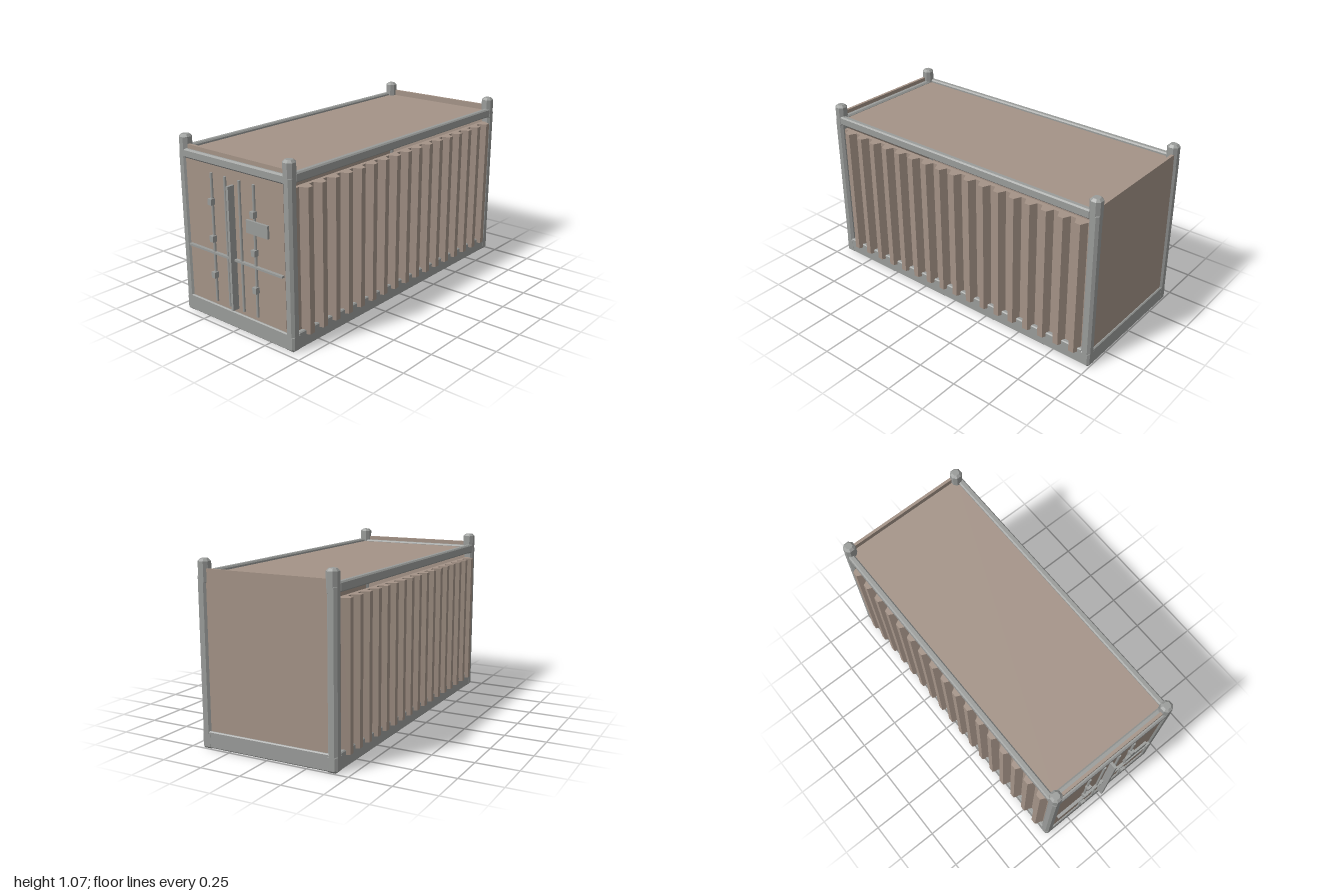
import * as THREE from 'three';

const mat = (name, color) => {
  const m = new THREE.MeshStandardMaterial({ color });
  m.name = name;
  return m;
};

// Rectangle outline with cut corners
function cutRect(w, h, c) {
  const a = w / 2, b = h / 2;
  return new THREE.Shape([
    [a - c, -b], [a, -b + c], [a, b - c], [a - c, b],
    [-a + c, b], [-a, b - c], [-a, -b + c], [-a + c, -b],
  ].map(([x, y]) => new THREE.Vector2(x, y)));
}

// Box with chamfered edges; cut trims the four edges along z further
function chamferBox(w, h, d, c, cut = c) {
  const g = new THREE.ExtrudeGeometry(cutRect(w - 2 * c, h - 2 * c, cut * 0.4), {
    depth: d - 2 * c, bevelEnabled: true, bevelThickness: c, bevelSize: c, bevelSegments: 1,
  });
  return g.translate(0, 0, -d / 2 + c);
}

export function createModel() {
  const root = new THREE.Group();
  root.name = 'cargoContainer';
  const steel = mat('frameGrey', 0x9a9c9a);
  const brown = mat('panelBrown', 0xa49387);
  const floorGrey = mat('floorGrey', 0x8c8c8c);

  const add = (name, geo, material, parent = root) => {
    const m = new THREE.Mesh(geo, material);
    m.name = name;
    parent.add(m);
    return m;
  };
  // Box given by its extents, chamfered when c > 0
  const span = (name, [x0, x1], [y0, y1], [z0, z1], material, c = 0) => {
    const w = x1 - x0, h = y1 - y0, d = z1 - z0;
    const g = c ? chamferBox(w, h, d, c) : new THREE.BoxGeometry(w, h, d);
    return add(name, g.translate((x0 + x1) / 2, (y0 + y1) / 2, (z0 + z1) / 2), material);
  };

  // Corner posts: eight-sided shaft, bottom casting and top casting
  const upright = (w, h, c, cut) => chamferBox(w, w, h, c, cut).rotateX(-Math.PI / 2);
  const shaft = upright(0.06, 0.96, 0.006, 0.028).translate(0.004, 0.5, 0.004);
  const topCasting = upright(0.068, 0.14, 0.014, 0.026).translate(0, 1.0, 0);
  const bottomCasting = chamferBox(0.068, 0.1, 0.068, 0.012).translate(0, 0.05, 0);
  // one post per corner, each a quarter turn from the last
  [[1, 0.932], [1, -0.966], [-1, -0.966], [-1, 0.932]].forEach(([s, z], i) => {
    const post = new THREE.Group();
    post.name = 'cornerPost';
    post.position.set(s * 0.398, 0, z);
    post.rotation.y = i * Math.PI / 2;
    root.add(post);
    add('postShaft', shaft, steel, post);
    add('bottomCasting', bottomCasting, steel, post);
    add('topCasting', topCasting, steel, post);
  });

  // Long side rails
  for (const s of [-1, 1]) {
    const xs = s > 0 ? [0.394, 0.431] : [-0.431, -0.394];
    span('topSideRail', xs, [0.945, 1.0], [-0.95, 0.92], steel, 0.008);
    span('bottomSideRail', xs, [0.006, 0.104], [-0.95, 0.92], steel, 0.006);
  }

  // End rails
  span('frontSill', [-0.405, 0.405], [0.006, 0.104], [0.927, 0.966], steel, 0.006);
  span('backSill', [-0.405, 0.405], [0.006, 0.104], [-0.999, -0.962], steel, 0.006);
  span('frontHeader', [-0.395, 0.395], [0.939, 0.993], [0.9, 0.966], steel, 0.009);

  // Flat panels
  span('roof', [-0.4, 0.4], [0.963, 0.982], [-0.97, 0.93], brown);
  span('floor', [-0.4, 0.4], [0.055, 0.075], [-0.966, 0.935], floorGrey);
  span('frontWall', [-0.375, 0.375], [0.09, 1.017], [0.93, 0.948], brown);
  span('doors', [-0.375, 0.375], [0.09, 0.96], [0.948, 0.956], brown);
  span('backWall', [-0.378, 0.378], [0.09, 1.017], [-0.988, -0.97], brown);

  // Corrugated side wall, outline in x and z, extruded upwards
  const ribs = 17, pitch = 0.108, first = 0.836, middle = -0.0175;
  const outline = [[0.385, 0.915], [0.408, 0.915]];
  for (let i = 0; i < ribs; i++) {
    const z = first - i * pitch;
    outline.push([0.408, z + 0.038], [0.453, z + 0.017], [0.453, z - 0.017], [0.408, z - 0.038]);
  }
  outline.push([0.408, -0.95], [0.385, -0.95]);
  const wallShape = new THREE.Shape(outline.map(([x, z]) => new THREE.Vector2(x, -(z - middle))));
  const wallGeo = new THREE.ExtrudeGeometry(wallShape, { depth: 0.835, bevelEnabled: false });
  wallGeo.rotateX(-Math.PI / 2).translate(0, 0.076, 0);
  for (const turn of [0, Math.PI]) {
    const wall = add('corrugatedSideWall', wallGeo, brown);
    wall.rotation.y = turn;
    wall.position.z = middle;
  }

  // Door locking rods and their brackets
  for (const x of [-0.164, -0.055, 0.055, 0.164]) {
    add('lockingRod', new THREE.CylinderGeometry(0.008, 0.008, 0.765, 8).translate(x, 0.512, 0.962), steel);
    if (Math.abs(x) > 0.1) {
      for (const y of [0.73, 0.512, 0.294]) {
        span('rodBracket', [x - 0.014, x + 0.014], [y - 0.018, y + 0.018], [0.955, 0.985], steel);
      }
    }
  }

  // Door centre strip, cross bar and lock plate
  span('centreStrip', [-0.008, 0.008], [0.13, 0.858], [0.955, 1.0], steel);
  span('crossBar', [-0.367, 0.367], [0.422, 0.434], [0.955, 0.975], steel);
  span('lockPlate', [0.12, 0.28], [0.622, 0.696], [0.97, 0.984], steel);

  return root;
}
